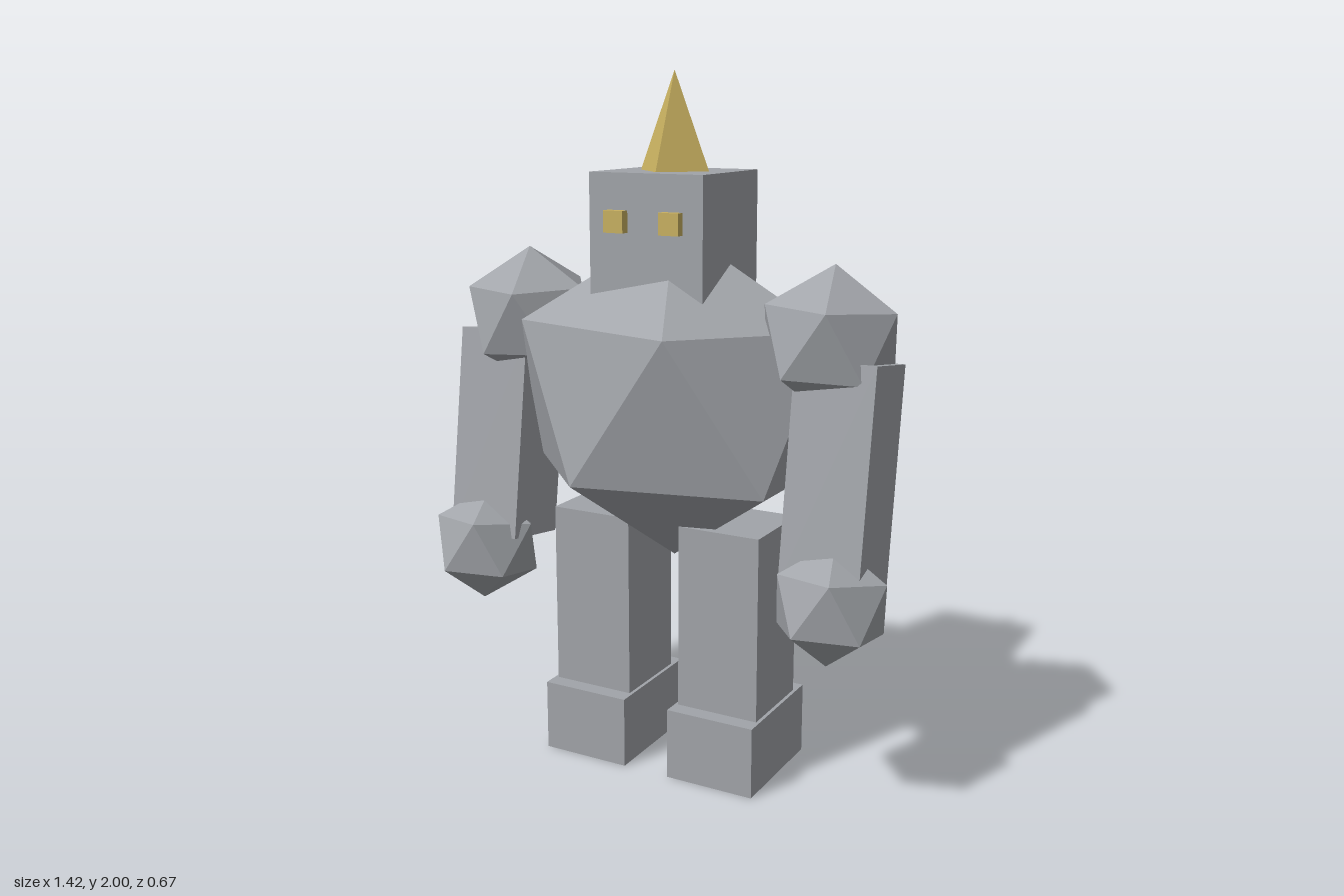
import * as THREE from 'three';
import { ConvexGeometry } from 'three/addons/geometries/ConvexGeometry.js';

// Faceted 20-sided rock standing on a point, with one upper-ring corner on +x
function rockGeometry() {
  const pts = [new THREE.Vector3(0, 1, 0), new THREE.Vector3(0, -1, 0)];
  const r = 2 / Math.sqrt(5), h = 1 / Math.sqrt(5);
  for (let i = 0; i < 5; i++) {
    const a = (i * Math.PI * 2) / 5;
    pts.push(new THREE.Vector3(r * Math.cos(a), h, r * Math.sin(a)));
    pts.push(new THREE.Vector3(-r * Math.cos(a), -h, -r * Math.sin(a)));
  }
  return new ConvexGeometry(pts);
}

export function createModel() {
  const model = new THREE.Group();
  model.name = 'stoneGolem';

  const stone = new THREE.MeshStandardMaterial({ color: 0xa1a4a9, flatShading: true });
  stone.name = 'grey stone';
  const gold = new THREE.MeshStandardMaterial({ color: 0xc8b060, flatShading: true });
  gold.name = 'gold';

  const add = (name, geometry, material, x, y, z) => {
    const mesh = new THREE.Mesh(geometry, material);
    mesh.name = name;
    mesh.position.set(x, y, z);
    model.add(mesh);
    return mesh;
  };
  const box = (name, w, h, d, x, y, z, material = stone) =>
    add(name, new THREE.BoxGeometry(w, h, d), material, x, y, z);
  const rock = (name, rx, ry, rz, x, y, z) => {
    const mesh = add(name, rockGeometry(), stone, x, y, z);
    mesh.scale.set(rx, ry, rz);
    return mesh;
  };

  // Body, head and horn
  rock('torso', 0.526, 0.48, 0.392, 0, 1.1, 0);
  box('head', 0.35, 0.35, 0.33, 0, 1.555, 0);
  add('horn', new THREE.ConeGeometry(0.107, 0.27, 4), gold, 0, 1.865, 0);

  // Limbs and eyes on both sides
  const swing = -0.14;
  for (const [side, s] of [['left', 1], ['right', -1]]) {
    box(side + 'Eye', 0.06, 0.06, 0.06, s * 0.085, 1.6, 0.162, gold);
    box(side + 'Leg', 0.25, 0.55, 0.255, s * 0.207, 0.475, 0);
    box(side + 'Foot', 0.27, 0.21, 0.352, s * 0.207, 0.105, 0);
    box(side + 'Arm', 0.23, 0.61, 0.215, s * 0.54, 0.943, 0.056).rotation.x = swing;
    rock(side + 'Shoulder', 0.205, 0.205, 0.205, s * 0.478, 1.295, 0.008)
      .rotation.set(s * -0.04, -0.025, s > 0 ? -0.035 : 0);
    rock(side + 'Fist', 0.17, 0.17, 0.17, s * 0.56, 0.614, 0.157).rotation.x = swing;
  }
  return model;
}
